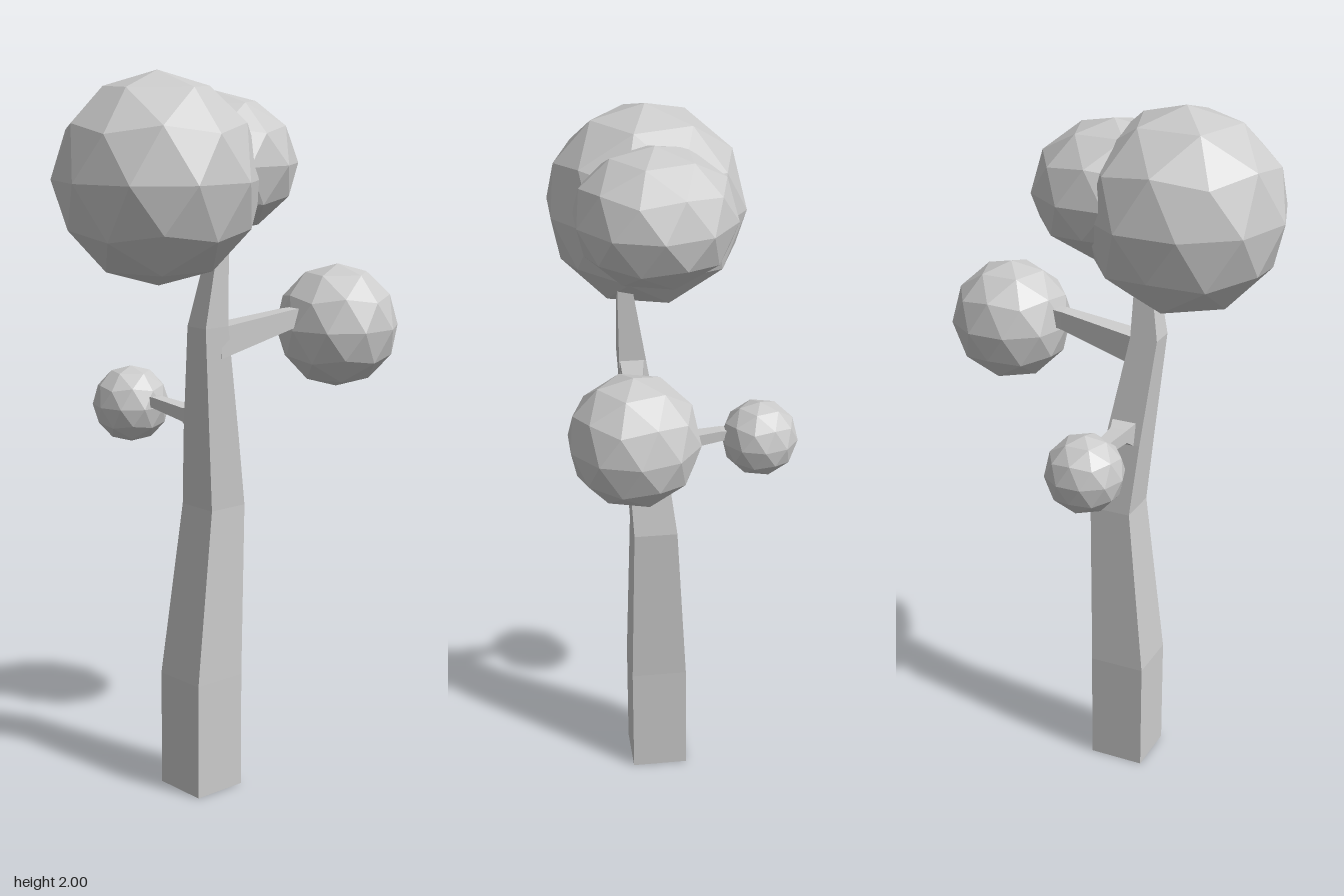
import * as THREE from 'three';

const material = new THREE.MeshStandardMaterial({ color: 0xcccccc, flatShading: true });

// Lofts rectangular sections [c, u0, u1, v0, v1] in ascending c along an axis;
// (u, v, c) is (x, y, z) for z, (z, x, y) for y and (y, z, x) for x.
function loft(name, axis, sections) {
  const place = {
    x: (u, v, c) => [c, u, v],
    y: (u, v, c) => [v, c, u],
    z: (u, v, c) => [u, v, c],
  }[axis];
  const rings = sections.map(([c, u0, u1, v0, v1]) =>
    [[u0, v0], [u1, v0], [u1, v1], [u0, v1]].map(([u, v]) => place(u, v, c)));
  const positions = [];
  const quad = (a, b, c, d) => positions.push(...a, ...b, ...c, ...a, ...c, ...d);

  for (let s = 0; s < rings.length - 1; s++) {
    for (let i = 0; i < 4; i++) {
      const j = (i + 1) % 4;
      quad(rings[s][i], rings[s][j], rings[s + 1][j], rings[s + 1][i]);
    }
  }
  quad(...[...rings[0]].reverse());
  quad(...rings[rings.length - 1]);

  const geometry = new THREE.BufferGeometry();
  geometry.setAttribute('position', new THREE.Float32BufferAttribute(positions, 3));
  geometry.computeVertexNormals();
  const mesh = new THREE.Mesh(geometry, material);
  mesh.name = name;
  return mesh;
}

// Faceted leaf ball with a vertex at its top and bottom
function leafBall(name, position, radius, squash = 1) {
  const geometry = new THREE.IcosahedronGeometry(radius, 1);
  geometry.rotateZ(-Math.atan2(1, (1 + Math.sqrt(5)) / 2));
  geometry.scale(1, squash, 1);
  const mesh = new THREE.Mesh(geometry, material);
  mesh.name = name;
  mesh.position.set(...position);
  return mesh;
}

export function createModel() {
  const tree = new THREE.Group();
  tree.name = 'tree';

  // Bent, tapering square trunk: y, back z, front z, right x, left x
  tree.add(loft('trunk', 'y', [
    [0, 0.003, 0.163, -0.01, 0.15],
    [0.33, 0.003, 0.163, -0.01, 0.15],
    [0.82, -0.015, 0.105, 0.017, 0.14],
    [1.03, 0.018, 0.123, 0.043, 0.15],
    [1.33, 0.07, 0.15, 0.092, 0.166],
    [1.62, 0.07, 0.095, 0.14, 0.168],
  ]));

  // Side branch: x, bottom y, top y, back z, front z
  tree.add(loft('sideBranch', 'x', [
    [-0.18, 1.07, 1.095, 0.07, 0.1],
    [-0.12, 1.068, 1.098, 0.065, 0.1],
    [0.01, 1.05, 1.088, 0.05, 0.1],
    [0.07, 1.01, 1.095, 0.03, 0.11],
  ]));

  // Back branch: z, right x, left x, bottom y, top y
  tree.add(loft('backBranch', 'z', [
    [-0.24, 0.14, 0.175, 1.31, 1.355],
    [-0.16, 0.13, 0.173, 1.3, 1.353],
    [0.09, 0.095, 0.163, 1.243, 1.328],
  ]));

  // Foliage
  tree.add(
    leafBall('crownFoliage', [0.07, 1.722, 0.231], 0.278),
    leafBall('rearCrownFoliage', [0.068, 1.755, 0.03], 0.223, 0.85),
    leafBall('backBranchFoliage', [0.17, 1.293, -0.337], 0.174),
    leafBall('sideBranchFoliage', [-0.232, 1.063, 0.086], 0.11),
  );
  return tree;
}
